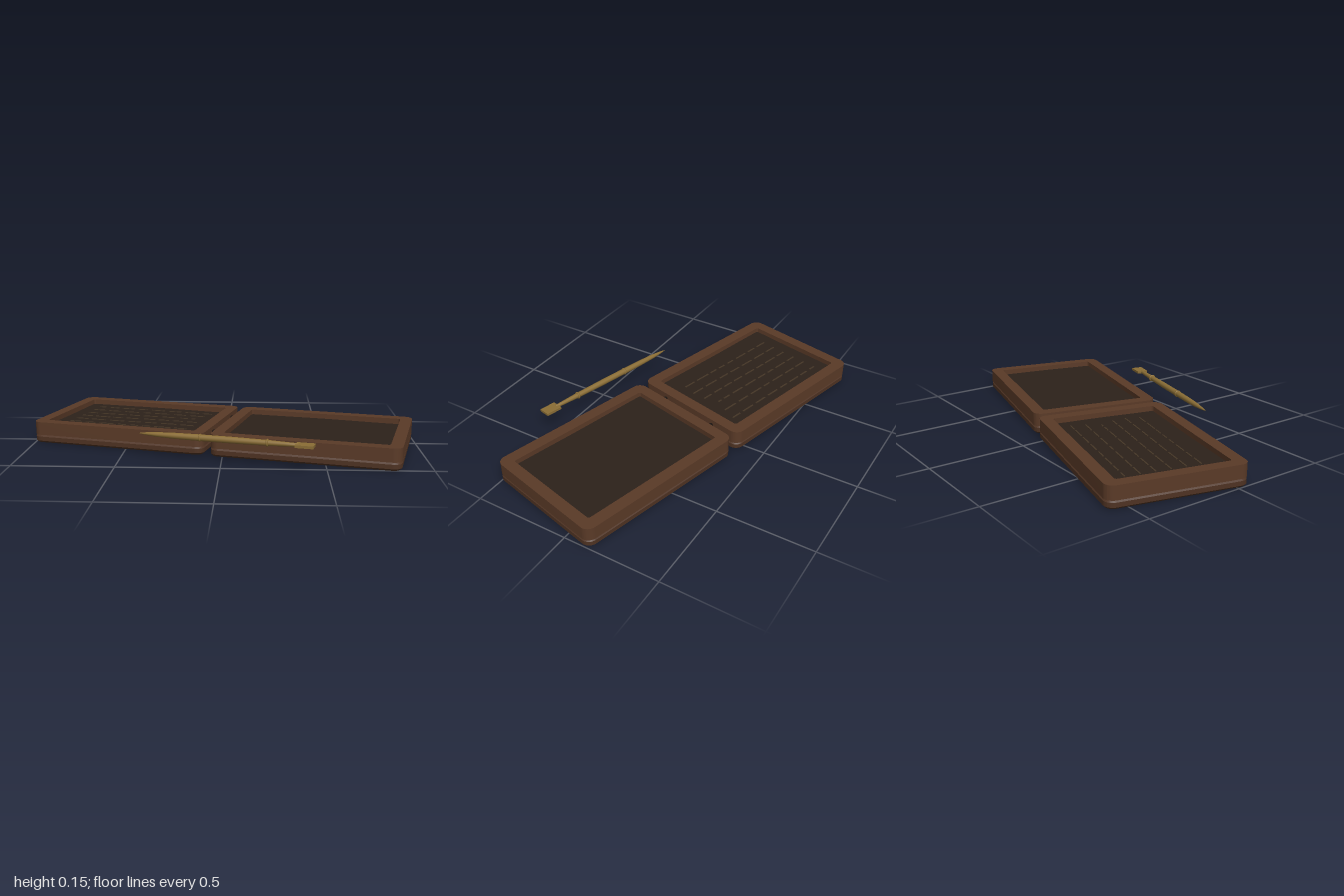
import * as THREE from 'three';
import { toCreasedNormals } from 'three/addons/utils/BufferGeometryUtils.js';

const material = (color) => new THREE.MeshStandardMaterial({ color });
const WOOD = material(0x5a3a27);
const BACKING = material(0x4e3222);
const WAX = material(0x2c211a);
const SCRIPT = material(0x453626);
const CORD = material(0x1c1511);
const BRASS = material(0x8a6d35);

const YAW = -THREE.MathUtils.degToRad(14);
const W = 0.938, D = 0.68;        // tablet outline
const IW = 0.818, ID = 0.556;     // recess outline
const BOARD_TOP = 0.042, TOP = 0.11, WAX_Y = 0.083;

function add(parent, name, geometry, mat, x = 0, y = 0, z = 0) {
  const mesh = new THREE.Mesh(geometry, mat);
  mesh.name = name;
  mesh.position.set(x, y, z);
  parent.add(mesh);
  return mesh;
}

function roundedRect(w, d, r, Type = THREE.Shape) {
  const s = new Type(), x = w / 2 - r, y = d / 2 - r;
  s.absarc(x, y, r, 0, Math.PI / 2);
  s.absarc(-x, y, r, Math.PI / 2, Math.PI);
  s.absarc(-x, -y, r, Math.PI, Math.PI * 1.5);
  s.absarc(x, -y, r, Math.PI * 1.5, Math.PI * 2);
  s.closePath();
  return s;
}

// Extrude a plan outline upward from y = 0
function slab(shape, height, bevel = 0) {
  const geometry = new THREE.ExtrudeGeometry(shape, {
    depth: height - 2 * bevel, curveSegments: 8,
    bevelEnabled: bevel > 0, bevelSize: bevel, bevelThickness: bevel,
    bevelOffset: -bevel, bevelSegments: 1,
  });
  geometry.translate(0, 0, bevel).rotateX(-Math.PI / 2);
  return toCreasedNormals(geometry, 0.5);
}

// Gently uneven wax surface
const waxHeight = (x, z) =>
  0.002 * Math.sin(x * 7 + z * 3) * Math.cos(z * 8 - x * 2);

function waxGeometry() {
  const geometry = new THREE.PlaneGeometry(IW, ID, 24, 16).rotateX(-Math.PI / 2);
  const p = geometry.attributes.position;
  for (let i = 0; i < p.count; i++) p.setY(i, waxHeight(p.getX(i), p.getZ(i)));
  geometry.computeVertexNormals();
  return geometry;
}

function tablet(name) {
  const group = new THREE.Group();
  group.name = name;
  add(group, 'backBoard', slab(roundedRect(W, D, 0.045), BOARD_TOP, 0.01), BACKING);
  const rim = roundedRect(W, D, 0.045);
  rim.holes.push(roundedRect(IW, ID, 0.012, THREE.Path));
  add(group, 'frame', slab(rim, TOP - BOARD_TOP), WOOD, 0, BOARD_TOP, 0);
  add(group, 'wax', waxGeometry(), WAX, 0, WAX_Y, 0);
  return group;
}

// Six rows of short dashes pressed into the wax
function writing() {
  const group = new THREE.Group();
  group.name = 'writing';
  let seed = 7;
  const random = () => (seed = (seed * 16807) % 2147483647) / 2147483647;
  const ends = [0.35, 0.34, 0.3, 0.36, 0.35, 0.35];
  ends.forEach((end, row) => {
    const z = -0.206 + row * 0.074;
    let x = -0.34;
    while (x < end - 0.02) {
      const length = Math.min(0.04 + random() * 0.05, end - x);
      const cx = x + length / 2;
      add(group, 'stroke', new THREE.BoxGeometry(length, 0.004, 0.008), SCRIPT,
        cx, WAX_Y + waxHeight(cx, z) + 0.001, z);
      x += length + 0.018 + random() * 0.012;
    }
  });
  return group;
}

function stylus() {
  const group = new THREE.Group();
  group.name = 'stylus';
  // Half profile: radius, distance from the middle toward the point
  const profile = [
    [0, -0.36], [0.009, -0.36], [0.011, -0.3], [0.014, -0.22], [0.016, -0.05],
    [0.016, 0.12], [0.015, 0.24], [0.012, 0.33], [0.006, 0.4], [0, 0.435],
  ].map(([r, y]) => new THREE.Vector2(r, y));
  const shaft = new THREE.LatheGeometry(profile, 16).rotateZ(Math.PI / 2);
  add(group, 'shaft', shaft, BRASS);
  for (const x of [-0.116, 0.213]) {
    const ring = new THREE.TorusGeometry(0.0135, 0.006, 8, 20).rotateY(Math.PI / 2);
    add(group, 'collar', ring, BRASS, x);
  }
  add(group, 'eraserBlade', new THREE.BoxGeometry(0.088, 0.013, 0.06), BRASS, 0.391);
  return group;
}

export function createModel() {
  const model = new THREE.Group();
  model.name = 'writingTablets';

  // Tablet pair, joined side by side
  const pair = new THREE.Group();
  pair.name = 'tabletPair';
  pair.position.set(-0.002, 0, -0.04);
  pair.rotation.y = YAW;
  model.add(pair);
  const written = tablet('writtenTablet');
  written.position.x = -0.4855;
  written.add(writing());
  const blank = tablet('blankTablet');
  blank.position.x = 0.4855;
  pair.add(written, blank);

  // Cord loops across the gap
  for (const z of [-0.168, 0.168]) {
    const loop = new THREE.TorusGeometry(0.028, 0.007, 8, 24);
    add(pair, 'hingeLoop', loop, CORD, 0, 0.06, z);
  }

  const pen = stylus();
  pen.position.set(0.013, 0.128, 0.45);
  pen.rotation.y = YAW;
  model.add(pen);
  return model;
}
